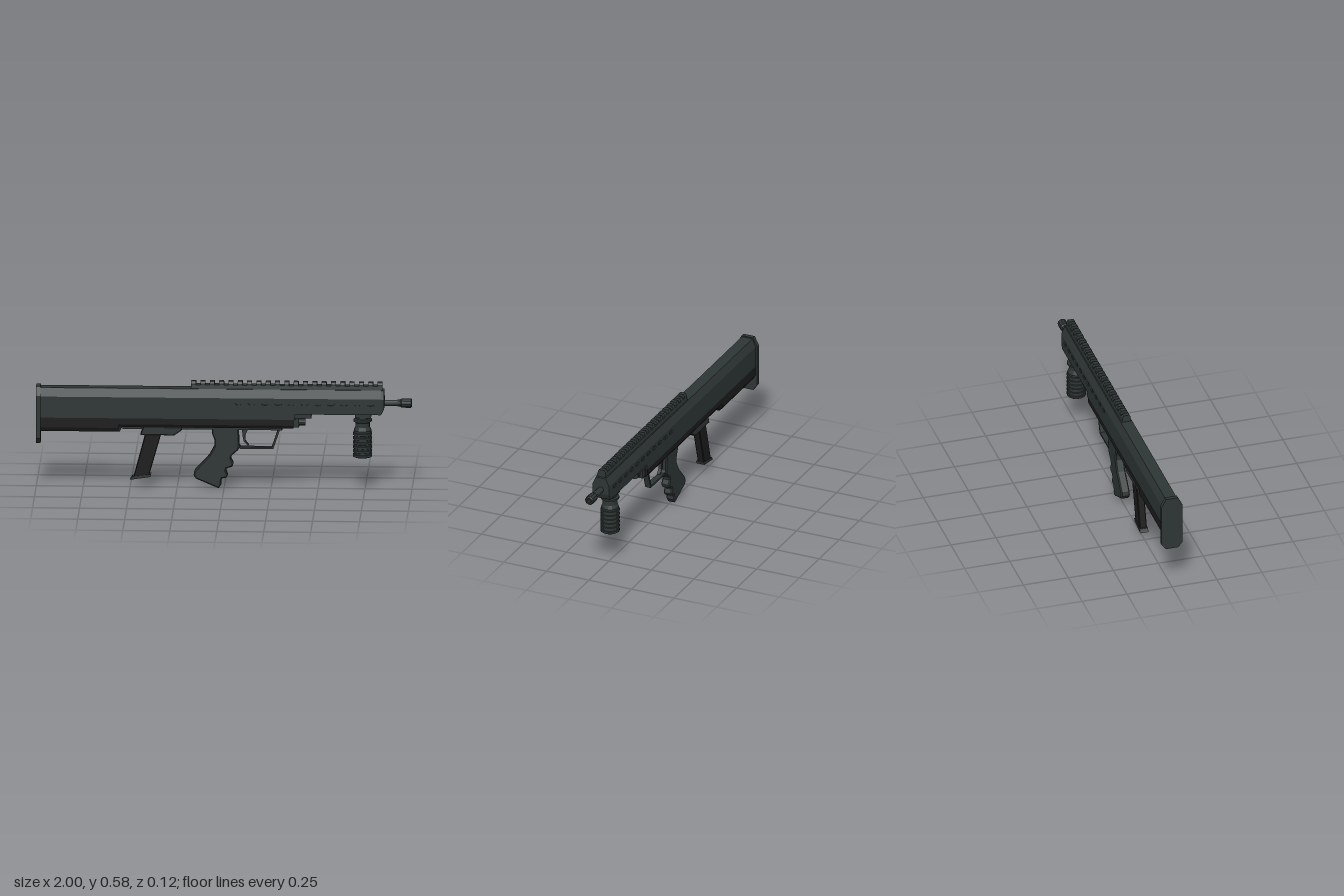
import * as THREE from 'three';
import { ConvexGeometry } from 'three/addons/geometries/ConvexGeometry.js';

const green = new THREE.MeshStandardMaterial({ color: 0x2e3635, flatShading: true });
green.name = 'greenGrey';
const black = new THREE.MeshStandardMaterial({ color: 0x1c1c1c, flatShading: true });
black.name = 'charcoal';

const toShape = pts => new THREE.Shape(pts.map(p => new THREE.Vector2(p[0], p[1])));
// Mirror a half section of [z, y] points, listed from top to bottom
const mirrored = half => [...half, ...half.map(([z, y]) => [-z, y]).reverse()];

// Symmetric [z, y] section swept along x
function sweepX(half, x0, x1) {
  const g = new THREE.ExtrudeGeometry(toShape(mirrored(half)), { depth: x1 - x0, bevelEnabled: false });
  return g.rotateY(Math.PI / 2).translate(x0, 0, 0);
}

// Side profile [x, y] given thickness across z, with a small bevel
function slab(pts, halfZ, bevel = 0) {
  const depth = 2 * (halfZ - bevel);
  const g = new THREE.ExtrudeGeometry(toShape(pts), {
    depth, bevelEnabled: bevel > 0, bevelSize: bevel, bevelThickness: bevel, bevelOffset: -bevel, bevelSegments: 1
  });
  return g.translate(0, 0, -depth / 2);
}

function box(x0, x1, y0, y1, halfZ) {
  return new THREE.BoxGeometry(x1 - x0, y1 - y0, 2 * halfZ).translate((x0 + x1) / 2, (y0 + y1) / 2, 0);
}

// Turned part along x
function turnedX(profile, sides) {
  return new THREE.LatheGeometry(profile.map(p => new THREE.Vector2(p[0], p[1])), sides).rotateZ(-Math.PI / 2);
}

export function createModel() {
  const model = new THREE.Group();
  const add = (name, geometry, material = green, parent = model) => {
    const mesh = new THREE.Mesh(geometry, material);
    mesh.name = name;
    parent.add(mesh);
    return mesh;
  };

  // Butt plate with cut corners
  add('buttPlate', sweepX([[0.033, 0.554], [0.058, 0.507], [0.058, 0.275], [0.035, 0.245]], -1, -0.976));

  // Upper housing: narrow core, sloped top and slotted side plates
  add('upperHousing', sweepX([[0.031, 0.548], [0.05, 0.503], [0.045, 0.503], [0.045, 0.388]], -0.98, 0.38));
  add('foreHousing', sweepX([[0.031, 0.548], [0.05, 0.503], [0.045, 0.503], [0.045, 0.418]], 0.38, 0.835));
  const plate = toShape([[-0.98, 0.388], [0.38, 0.388], [0.38, 0.418], [0.835, 0.418], [0.835, 0.503], [-0.98, 0.503]]);
  for (let i = 0; i < 11; i++) {
    const hole = new THREE.Path();
    hole.absellipse(0.08 + i * 0.07, 0.476, 0.021, 0.01, 0, Math.PI * 2, true);
    plate.holes.push(hole);
  }
  for (const z of [-0.05, 0.044]) {
    const g = new THREE.ExtrudeGeometry(plate, { depth: 0.006, bevelEnabled: false, curveSegments: 5 });
    add('slottedSide', g.translate(0, 0, z));
  }

  // Nose block, cut back underneath
  const nose = [];
  for (const s of [-1, 1]) {
    for (const [x, y, z] of [
      [0.835, 0.548, 0.031], [0.835, 0.503, 0.05], [0.835, 0.418, 0.05], [0.84, 0.418, 0.025],
      [0.853, 0.544, 0.029], [0.853, 0.502, 0.048], [0.853, 0.45, 0.048]
    ]) nose.push(new THREE.Vector3(x, y, s * z));
  }
  add('nose', new ConvexGeometry(nose));

  // Lower body, deeper towards the butt
  add('lowerBody', sweepX([[0.047, 0.39], [0.047, 0.355], [0.036, 0.337]], -0.56, 0.37), black);
  add('rearLowerBody', sweepX([[0.048, 0.39], [0.048, 0.335], [0.036, 0.312]], -0.98, -0.56), black);
  add('lowerBodyStep', slab([[-0.57, 0.312], [-0.555, 0.312], [-0.54, 0.34], [-0.57, 0.34]], 0.036), black);
  add('bottomStrip', box(-0.54, 0.31, 0.325, 0.34, 0.027));

  // Catch under the fore end
  add('catchShelf', box(0.36, 0.465, 0.394, 0.42, 0.04));
  add('catchBlock', box(0.36, 0.4, 0.342, 0.396, 0.032));
  add('catchPin', turnedX([[0, 0], [0.022, 0], [0.022, 0.035], [0, 0.035]], 10)).position.set(0.398, 0.368, 0);

  // Toothed top rail
  add('railBase', sweepX([[0.022, 0.568], [0.026, 0.545]], -0.175, 0.843));
  for (let i = 0; i < 21; i++) {
    const x = -0.175 + i * 0.0496;
    add('railTooth', sweepX([[0.015, 0.587], [0.022, 0.576], [0.022, 0.566]], x, x + 0.026));
  }

  // Barrel and muzzle
  add('barrel', turnedX([[0.017, 0], [0.017, 0.09]], 12)).position.set(0.85, 0.474, 0);
  add('muzzle', turnedX([
    [0.017, 0], [0.019, 0.005], [0.019, 0.015], [0.025, 0.022], [0.025, 0.073], [0.019, 0.077], [0.012, 0.077], [0.012, 0.045], [0, 0.045]
  ], 10)).position.set(0.923, 0.474, 0);

  // Front grip with waist and ribs
  add('foregripMount', box(0.697, 0.783, 0.398, 0.42, 0.039));
  const ribs = [[0, 0.18], [0.048, 0.18]];
  for (let i = 0; i < 6; i++) {
    const y = 0.183 + i * 0.0235;
    ribs.push([0.052, y], [0.052, y + 0.011], [0.047, y + 0.013], [0.047, y + 0.021]);
  }
  ribs.push([0.048, 0.325], [0.039, 0.345], [0.039, 0.368], [0.05, 0.374], [0.05, 0.385], [0.038, 0.389], [0.038, 0.41]);
  add('foregrip', new THREE.LatheGeometry(ribs.map(p => new THREE.Vector2(p[0], p[1])), 14)).position.x = 0.737;

  // Pistol grip with finger grooves
  add('pistolGrip', slab([
    [-0.065, 0.335], [0.078, 0.335], [0.082, 0.225], [0.072, 0.21], [0.04, 0.182], [0.037, 0.165],
    [0.05, 0.14], [0.045, 0.122], [0.014, 0.112], [0.01, 0.098], [0.02, 0.075], [0.013, 0.062],
    [-0.01, 0.057], [-0.016, 0.04], [-0.014, 0.025], [-0.028, 0.003], [-0.15, 0.055], [-0.162, 0.075],
    [-0.156, 0.098], [-0.08, 0.18], [-0.05, 0.235], [-0.05, 0.265], [-0.065, 0.305]
  ], 0.024, 0.006));

  // Trigger and guard
  add('triggerGuard', slab([
    [0.07, 0.24], [0.085, 0.219], [0.262, 0.219], [0.3, 0.33], [0.288, 0.33], [0.254, 0.229], [0.09, 0.229], [0.078, 0.245]
  ], 0.016));
  add('trigger', slab([
    [0.095, 0.33], [0.13, 0.33], [0.112, 0.29], [0.114, 0.262], [0.133, 0.238], [0.126, 0.236], [0.104, 0.258], [0.098, 0.29]
  ], 0.009));

  // Magazine and its well
  add('magazineWell', slab([[-0.43, 0.338], [-0.445, 0.292], [-0.265, 0.292], [-0.225, 0.32], [-0.225, 0.338]], 0.03, 0.004));
  add('magazine', slab([[-0.42, 0.295], [-0.335, 0.295], [-0.398, 0.072], [-0.482, 0.06]], 0.02, 0.004), black);
  add('magazineBase', slab([[-0.5, 0.046], [-0.392, 0.062], [-0.388, 0.077], [-0.487, 0.064]], 0.023));

  return model;
}
